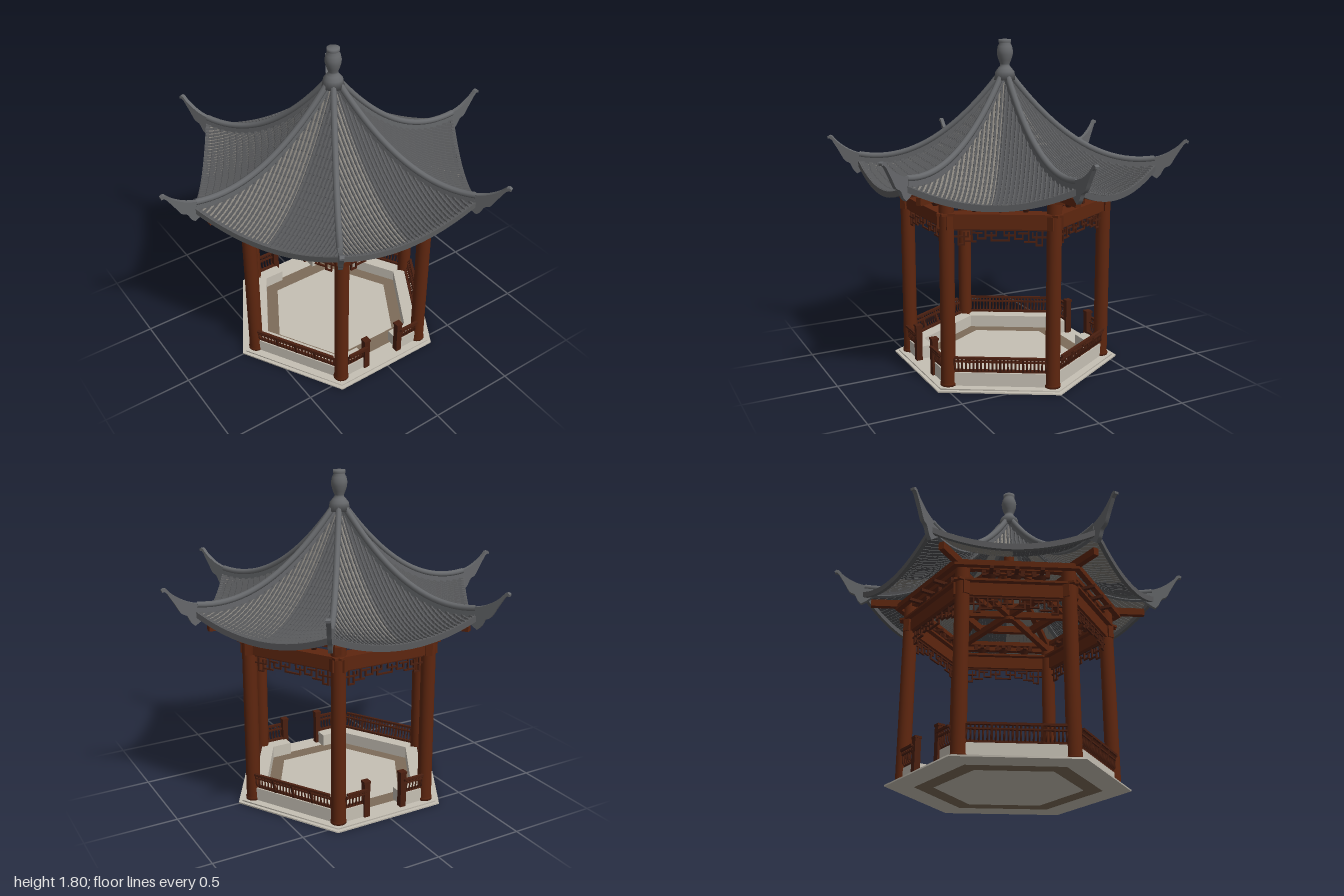
import * as THREE from 'three';
import { mergeGeometries } from 'three/addons/utils/BufferGeometryUtils.js';

const mat = (name, color, opts = {}) => {
  const m = new THREE.MeshStandardMaterial({ color, ...opts });
  m.name = name;
  return m;
};
const M = {
  wood: mat('red brown wood', 0x5e260f),
  lattice: mat('dark wood', 0x4a1f10),
  stone: mat('pale stone', 0xc6c0b4),
  band: mat('brown stone', 0x7d6c59),
  ridge: mat('ridge grey', 0x66686b),
  tile: mat('tile grey', 0x5a5b5d, { flatShading: true, side: THREE.DoubleSide }),
  panLight: mat('light pan tile', 0x85817a, { side: THREE.DoubleSide }),
  panDark: mat('dark pan tile', 0x505154, { side: THREE.DoubleSide }),
};
const SIN60 = Math.sqrt(3) / 2, TAN30 = 1 / Math.sqrt(3);
const COL_R = 0.55, COL_A = COL_R * SIN60;   // column ring: corner radius and apothem
const EAVE_R = 0.82, EAVE_A = EAVE_R * SIN60;

const add = (parent, name, geo, material, x = 0, y = 0, z = 0) => {
  const m = new THREE.Mesh(geo, material);
  m.name = name;
  m.position.set(x, y, z);
  parent.add(m);
  return m;
};
const box = (w, h, d, x = 0, y = 0, z = 0) => new THREE.BoxGeometry(w, h, d).translate(x, y, z);

// Six copies about the centre: sides face local +z, corners point along local +x
const six = (parent, name, build) => {
  for (let k = 0; k < 6; k++) {
    const g = new THREE.Group();
    g.name = name;
    g.rotation.y = k * Math.PI / 3;
    build(g, k);
    parent.add(g);
  }
};

// Grid surface from a function of (u, v) in 0..1
const surface = (fn, nu, nv) => {
  const pos = [], idx = [];
  for (let j = 0; j <= nv; j++) for (let i = 0; i <= nu; i++) pos.push(...fn(i / nu, j / nv));
  for (let j = 0; j < nv; j++) for (let i = 0; i < nu; i++) {
    const a = j * (nu + 1) + i, b = a + nu + 1;
    idx.push(a, b, a + 1, b, b + 1, a + 1);
  }
  const g = new THREE.BufferGeometry();
  g.setAttribute('position', new THREE.Float32BufferAttribute(pos, 3));
  g.setIndex(idx);
  g.computeVertexNormals();
  return g;
};

// Roof curves: top of the hip ridge by radius, and roof skin by distance d and sideways x
const ridgeY = r => 1.66 - 1.36 * r + 0.93 * r * r;
const roofY = (x, d) => {
  const t = d / EAVE_A, u = d > 0 ? Math.min(1, Math.abs(x) / (d * TAN30)) : 0;
  return ridgeY(t * EAVE_R) - 0.045 - 0.09 * t * t * (1 - u * u);
};

// One round tile row, stepped at each overlap, from the hip down to the eave
const tileRow = x => {
  const d0 = Math.max(0.03, Math.abs(x) / TAN30), len = EAVE_A + 0.008 - d0;
  const rows = Math.max(1, Math.round(len / 0.036));
  const arch = [[-1, -0.2], [-0.5, 1], [0.5, 1], [1, -0.2]];
  return surface((u, v) => {
    const j = Math.round(v * rows * 2), s = j % 2 ? 0.0078 : 0.0058;
    const d = d0 + len * (Math.floor(j / 2) + (j % 2 ? 0.92 : 0)) / rows;
    const a = arch[Math.round(u * 3)];
    return [x + a[0] * s, roofY(x, Math.min(d, EAVE_A)) + a[1] * s * 1.3, d];
  }, 3, rows * 2);
};

function buildRoof() {
  const roof = new THREE.Group();
  roof.name = 'roof';
  roof.rotation.y = -0.042;

  const rows = [];
  for (let i = 0; i < 36; i++) rows.push(tileRow((i - 17.5) * 0.0222));
  const tiles = mergeGeometries(rows);
  const pan = s => surface((u, v) => {
    const d = Math.max(v * EAVE_A, 0.001), x = s * u * d * TAN30;
    return [x, roofY(x, d), d];
  }, 8, 16);
  const panL = pan(-1), panR = pan(1);

  // Eave rim: a square band following the lifted eave
  const rimPath = [[-0.008, 0.006], [0.012, 0.006], [0.012, -0.026], [-0.008, -0.026], [-0.008, 0.006]];
  const rim = surface((u, v) => {
    const x = (u - 0.5) * EAVE_R, c = rimPath[Math.round(v * 4)];
    return [x, roofY(x, EAVE_A) + c[1], EAVE_A + c[0]];
  }, 20, 4);

  six(roof, 'roofSlope', g => {
    add(g, 'tileRows', tiles, M.tile);
    add(g, 'panTilesLeft', panL, M.panLight);
    add(g, 'panTilesRight', panR, M.panDark);
    add(g, 'eaveRim', rim, M.tile);
  });

  // Hip ridge with a rounded cap, ending in an upswept horn
  const rs = Array.from({ length: 17 }, (_, i) => 0.02 + i * 0.05);
  const ridgeShape = new THREE.Shape([
    ...rs.map(r => new THREE.Vector2(r, ridgeY(r))),
    ...rs.slice().reverse().map(r => new THREE.Vector2(r, ridgeY(r) - 0.06)),
  ]);
  const slab = (shape, w) => new THREE.ExtrudeGeometry(shape, { depth: w, bevelEnabled: false, curveSegments: 6 }).translate(0, 0, -w / 2);
  const ridgeGeo = slab(ridgeShape, 0.024);
  const capCurve = new THREE.CatmullRomCurve3(rs.map(r => new THREE.Vector3(r, ridgeY(r) - 0.006, 0)));
  const capGeo = new THREE.TubeGeometry(capCurve, 24, 0.017, 8);

  const horn = new THREE.Shape();
  horn.moveTo(0.76, 1.168);
  horn.splineThru([[0.82, 1.172], [0.88, 1.192], [0.94, 1.23], [0.975, 1.266]].map(p => new THREE.Vector2(...p)));
  for (const p of [[0.988, 1.27], [1.0, 1.262], [0.998, 1.25], [0.985, 1.252], [0.972, 1.24]]) horn.lineTo(...p);
  horn.splineThru([[0.935, 1.18], [0.905, 1.13], [0.875, 1.112], [0.855, 1.075], [0.835, 1.055]].map(p => new THREE.Vector2(...p)));
  horn.lineTo(0.81, 1.07);
  horn.lineTo(0.76, 1.11);
  const hornGeo = slab(horn, 0.022);

  six(roof, 'roofCorner', g => {
    add(g, 'hipRidge', ridgeGeo, M.ridge);
    add(g, 'ridgeCap', capGeo, M.ridge);
    add(g, 'upsweptHorn', hornGeo, M.ridge);
  });

  // Finial on a flared collar
  const profile = [[0, 1.58], [0.06, 1.585], [0.052, 1.63], [0.036, 1.65], [0.026, 1.662], [0.026, 1.672],
    [0.034, 1.69], [0.043, 1.72], [0.044, 1.742], [0.039, 1.765], [0.03, 1.782], [0.034, 1.786], [0.034, 1.803], [0, 1.805]];
  add(roof, 'finial', new THREE.LatheGeometry(profile.map(p => new THREE.Vector2(...p)), 20), M.ridge);
  return roof;
}

// Hanging fret below the beam: half pattern as [x1, y1, x2, y2] bars, mirrored
const FRET = [[0, 0.862, 0.235, 0.862], [0, 0.806, 0.045, 0.806], [0.045, 0.806, 0.045, 0.845], [0.02, 0.832, 0.02, 0.862],
  [0.02, 0.832, 0.075, 0.832], [0.075, 0.815, 0.075, 0.862], [0.075, 0.815, 0.115, 0.815], [0.115, 0.815, 0.115, 0.845],
  [0.095, 0.845, 0.145, 0.845], [0.145, 0.8, 0.145, 0.862], [0.125, 0.8, 0.185, 0.8], [0.165, 0.825, 0.235, 0.825],
  [0.165, 0.825, 0.165, 0.845], [0.185, 0.782, 0.185, 0.845], [0.185, 0.782, 0.215, 0.782], [0.215, 0.782, 0.215, 0.862]];

function fretGeometry() {
  const bars = [];
  for (const s of [-1, 1]) for (const [x1, y1, x2, y2] of FRET)
    bars.push(box(x2 - x1 + 0.008, Math.abs(y2 - y1) + 0.008, 0.01, s * (x1 + x2) / 2, (y1 + y2) / 2, COL_A));
  return mergeGeometries(bars);
}

// Leaning seat railing with bowed balusters between x1 and x2
function railingGeometry(x1, x2) {
  const w = x2 - x1, c = (x1 + x2) / 2, n = Math.round(w / 0.02), parts = [];
  for (const [y, z, h] of [[0.097, 0.482, 0.012], [0.155, 0.5, 0.008], [0.178, 0.51, 0.012]]) parts.push(box(w, h, 0.016, c, y, z));
  for (let i = 0; i <= n; i++) {
    const x = x1 + w * i / n;
    const path = new THREE.CatmullRomCurve3([[0.095, 0.482], [0.12, 0.5], [0.15, 0.497], [0.178, 0.51]].map(p => new THREE.Vector3(x, ...p)));
    parts.push(new THREE.TubeGeometry(path, 4, 0.005, 4));
  }
  return mergeGeometries(parts);
}

// Flat hexagonal ring of six beams at corner radius r
const beamRing = (parent, name, r, h, d, y) => six(parent, name, g =>
  add(g, name + 'Beam', box(r + d * TAN30, h, d), M.wood, 0, y, r * SIN60));

export function createModel() {
  const model = new THREE.Group();
  model.name = 'hexagonalPavilion';

  // Floor slab with a brown band inlaid on both faces
  const hex = (r, h) => new THREE.CylinderGeometry(r, r, h, 6, 1, false, Math.PI / 6).toNonIndexed();
  add(model, 'lowerSlab', hex(0.642, 0.008), M.stone, 0, 0.005, 0);
  add(model, 'upperSlab', hex(0.62, 0.008), M.stone, 0, 0.012, 0);
  const bandGeo = new THREE.RingGeometry(0.39, 0.49, 6, 1).rotateX(-Math.PI / 2);
  add(model, 'floorBandTop', bandGeo, M.band, 0, 0.0175, 0);
  add(model, 'floorBandBottom', bandGeo, M.band, 0, 0.0002, 0).rotation.x = Math.PI;

  // Columns with base rings, corner beams and inner hip rafters
  const columnGeo = new THREE.LatheGeometry([[0, 0.014], [0.043, 0.014], [0.043, 0.03], [0.039, 0.034], [0.039, 1.06], [0, 1.06]]
    .map(p => new THREE.Vector2(...p)), 18);
  const rafterAngle = Math.atan2(0.27, 0.52);
  six(model, 'cornerFrame', g => {
    add(g, 'column', columnGeo, M.wood, COL_R, 0, 0);
    add(g, 'cornerBeam', box(0.25, 0.04, 0.03), M.wood, 0.65, 1.045, 0);
    add(g, 'tieBeam', box(0.52, 0.035, 0.03), M.wood, 0.27, 1.0, 0);
    add(g, 'hipRafter', box(0.58, 0.03, 0.03), M.wood, 0.27, 1.17, 0).rotation.z = -rafterAngle;
  });
  beamRing(model, 'eavePurlin', 0.62, 0.03, 0.03, 1.025);
  beamRing(model, 'innerRing', 0.3, 0.04, 0.03, 1.03);
  beamRing(model, 'upperRing', 0.24, 0.03, 0.025, 1.16);
  add(model, 'kingPost', new THREE.CylinderGeometry(0.03, 0.03, 0.55, 12), M.wood, 0, 1.24, 0);

  // Sides: beams, brackets, fret, benches and railings
  const bracket = mergeGeometries([
    new THREE.CylinderGeometry(0.03, 0.012, 0.032, 12).translate(0, 0.972, 0),
    box(0.09, 0.014, 0.02, 0, 0.994, 0), box(0.02, 0.016, 0.14, 0, 0.994, 0.02),
    box(0.022, 0.018, 0.022, -0.036, 1.01, 0), box(0.022, 0.018, 0.022, 0.036, 1.01, 0),
  ]);
  const fret = fretGeometry();
  const fullRail = railingGeometry(-0.24, 0.24), halfRails = [railingGeometry(-0.24, -0.12), railingGeometry(0.12, 0.24)];
  six(model, 'side', (g, k) => {
    add(g, 'mainBeam', box(0.64, 0.07, 0.035), M.wood, 0, 0.903, COL_A);
    add(g, 'capPlate', box(0.64, 0.012, 0.09), M.wood, 0, 0.945, COL_A);
    add(g, 'upperBeam', box(0.55, 0.025, 0.03), M.wood, 0, 1.032, COL_A);
    for (const x of [-0.13, 0, 0.13]) add(g, 'bracket', bracket, M.lattice, x, 0, COL_A);
    add(g, 'hangingFret', fret, M.lattice);
    if (k % 3) {
      add(g, 'bench', box(0.49, 0.074, 0.09), M.stone, 0, 0.052, 0.45);
      add(g, 'railing', fullRail, M.lattice);
      for (const x of [-0.12, 0, 0.12]) add(g, 'railingStrut', box(0.012, 0.1, 0.012), M.lattice, x, 0.135, 0.498).rotation.x = 0.3;
    } else {
      [-1, 1].forEach((s, i) => {
        add(g, 'bench', box(0.14, 0.074, 0.09), M.stone, s * 0.185, 0.052, 0.45);
        add(g, 'railing', halfRails[i], M.lattice);
        add(g, 'entrancePost', box(0.034, 0.2, 0.034), M.lattice, s * 0.115, 0.115, 0.49);
        add(g, 'postCap', box(0.04, 0.012, 0.04), M.lattice, s * 0.115, 0.218, 0.49);
      });
    }
  });

  model.add(buildRoof());
  return model;
}
